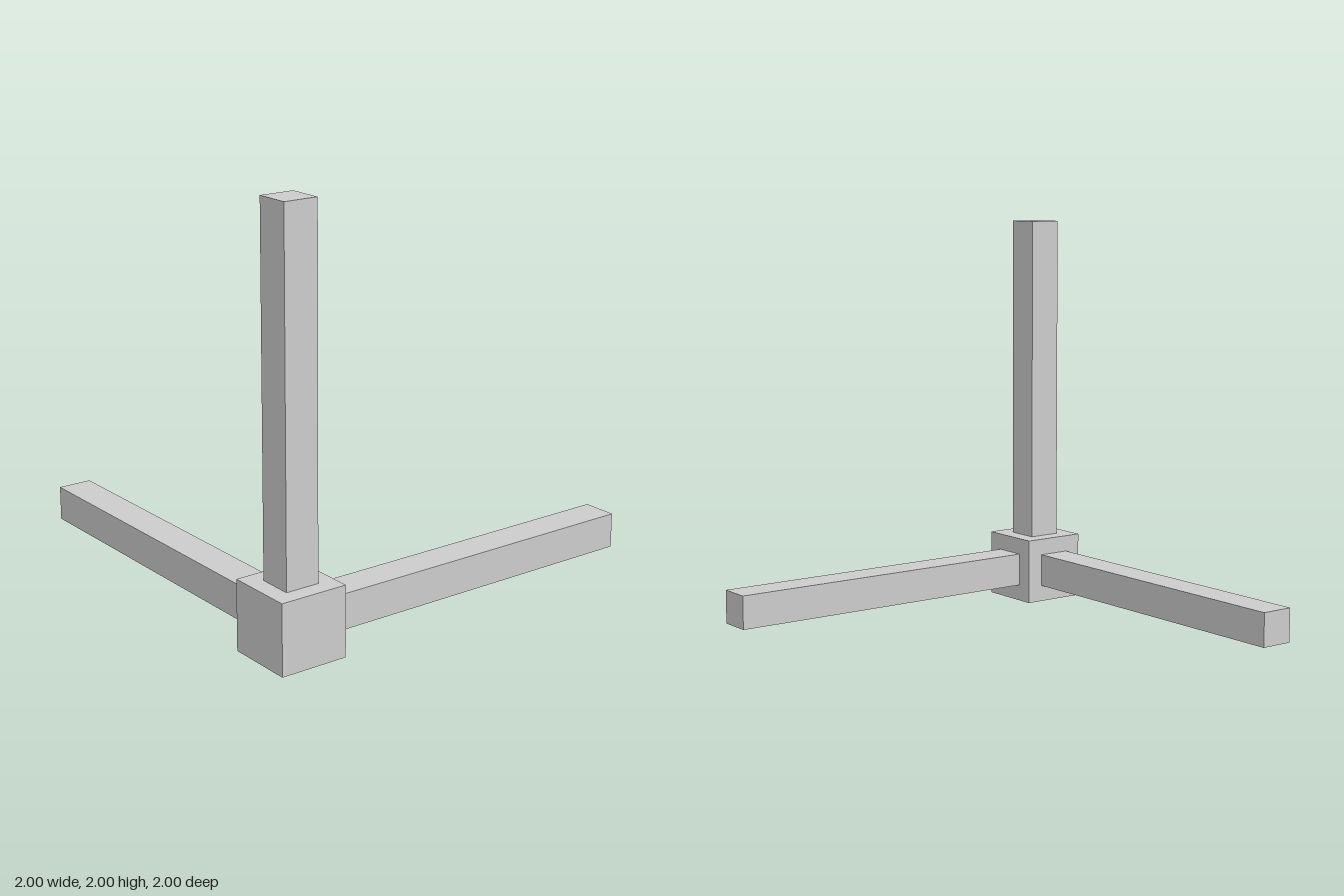
import * as THREE from 'three';

const HUB = 1 / 3;        // side of the corner cube
const BAR = 1 / 6;        // thickness of each arm
const LENGTH = 2 - HUB;   // arm length beyond the cube

export function createModel() {
  const model = new THREE.Group();
  model.name = 'axisMarker';
  const material = new THREE.MeshStandardMaterial({ color: 0xcccccc, flatShading: true });
  const corner = new THREE.Vector3(-1 + HUB / 2, HUB / 2, 1 - HUB / 2);

  // Corner cube
  const hub = new THREE.Mesh(new THREE.BoxGeometry(HUB, HUB, HUB), material);
  hub.name = 'cornerCube';
  hub.position.copy(corner);
  model.add(hub);

  // Three square arms, each starting on a face of the cube
  const arms = [
    ['sideArm', new THREE.Vector3(1, 0, 0)],
    ['uprightArm', new THREE.Vector3(0, 1, 0)],
    ['backArm', new THREE.Vector3(0, 0, -1)],
  ];
  for (const [name, dir] of arms) {
    const size = dir.toArray().map((d) => (d ? LENGTH : BAR));
    const arm = new THREE.Mesh(new THREE.BoxGeometry(...size), material);
    arm.name = name;
    arm.position.copy(corner).addScaledVector(dir, (HUB + LENGTH) / 2);
    model.add(arm);
  }
  return model;
}
